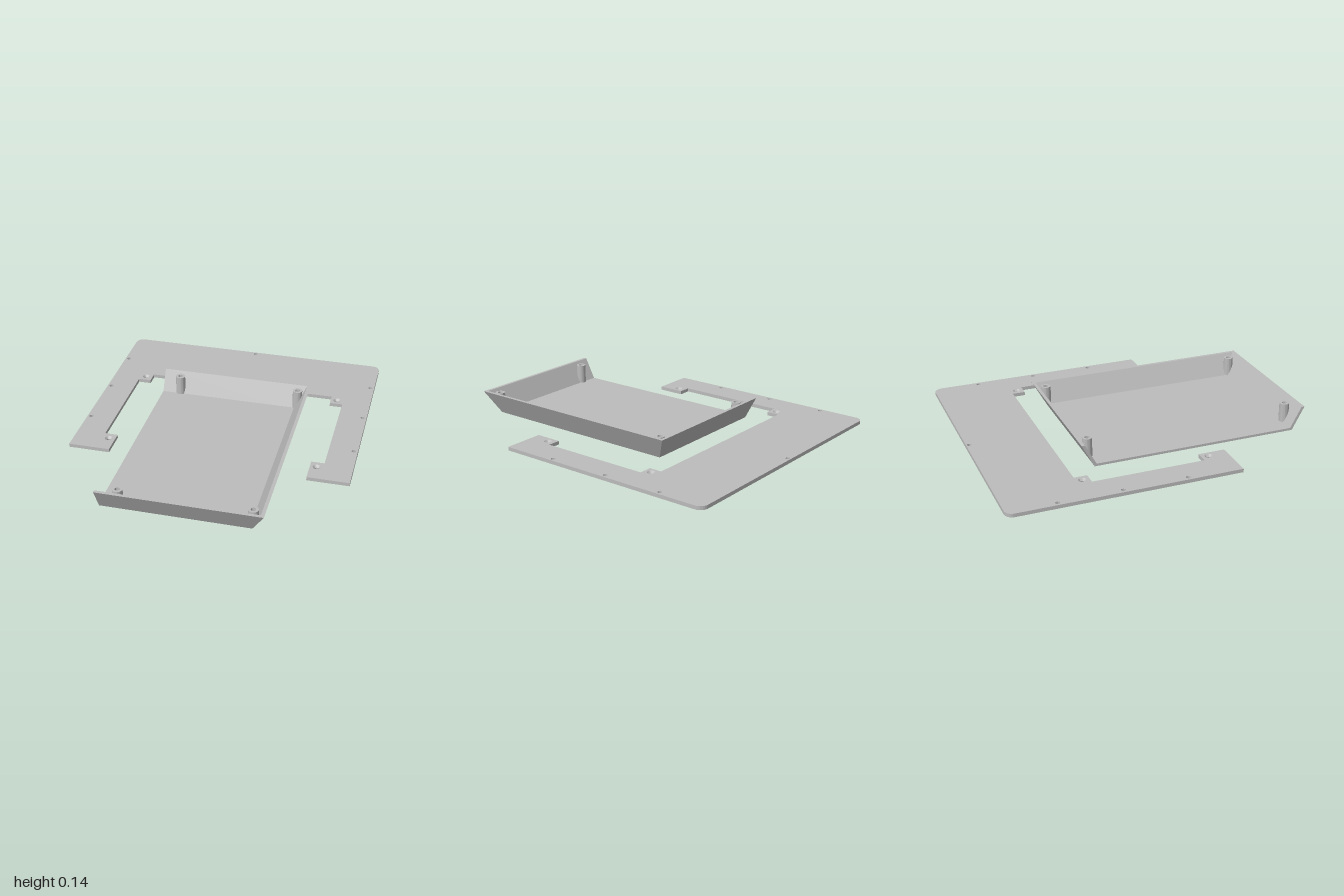
import * as THREE from 'three';
import { toCreasedNormals } from 'three/addons/utils/BufferGeometryUtils.js';

const H = 0.145;          // tray height
const K = 0.078 / H;      // outward lean of the walls
const T = 0.02;           // horizontal wall thickness
const FLOOR = 0.015;
const PLATE = 0.022;
// outer bottom edges of the tray
const LEFT = -0.485, RIGHT = 0.4, BACK = -0.365, FRONT = 0.922;

const grey = new THREE.MeshStandardMaterial({ color: 0xbcbcbc, side: THREE.DoubleSide });
grey.name = 'light grey';

function mesh(name, geometry, parent) {
  const m = new THREE.Mesh(geometry, grey);
  m.name = name;
  parent.add(m);
  return m;
}

function circle(x, y, r) {
  return new THREE.Path().absarc(x, y, r, 0, Math.PI * 2, true);
}

// Leaning wall running along x, outer face toward +z; mitred ends flare with the lean
function wallGeometry(u0, u1, mitre0, mitre1, slots = []) {
  const flare = K * H;
  const shape = new THREE.Shape([
    new THREE.Vector2(u0, 0), new THREE.Vector2(u1, 0),
    new THREE.Vector2(u1 + mitre1 * flare, H), new THREE.Vector2(u0 - mitre0 * flare, H),
  ]);
  const r = 0.0135, low = 0.038 + r, high = 0.113 - r;
  for (const u of slots) {
    const slot = new THREE.Path();
    slot.absarc(u, high, r, 0, Math.PI, false);
    slot.absarc(u, low, r, Math.PI, Math.PI * 2, false);
    slot.closePath();
    shape.holes.push(slot);
  }
  const g = new THREE.ExtrudeGeometry(shape, { depth: 1, bevelEnabled: false, curveSegments: 8 });
  const p = g.attributes.position;
  const s2 = 1 + K * K;
  for (let i = 0; i < p.count; i++) {
    let x = p.getX(i), y = p.getY(i), z = K * y;
    if (p.getZ(i) < 0.5) {
      if (y > 0.001 && y < H - 0.001) {     // slots are cut square to the wall
        z -= T / s2;
        y += K * T / s2;
      } else {                              // rim stays level, ends are mitred
        z -= T;
        x += x < (u0 + u1) / 2 ? T * mitre0 : -T * mitre1;
      }
    }
    p.setXYZ(i, x, y, z);
  }
  return toCreasedNormals(g, 0.6);
}

function buildTray() {
  const tray = new THREE.Group();
  tray.name = 'tray';

  // Floor, its edges leaning to meet the walls
  const x1 = RIGHT - T, z0 = BACK + T, z1 = FRONT - T;
  const floor = new THREE.BoxGeometry(x1 - LEFT, FLOOR, z1 - z0);
  floor.translate((x1 + LEFT) / 2, FLOOR / 2, (z0 + z1) / 2);
  const p = floor.attributes.position;
  for (let i = 0; i < p.count; i++) {
    if (p.getY(i) < FLOOR / 2) continue;
    if (p.getX(i) > 0) p.setX(i, x1 + K * FLOOR);
    p.setZ(i, p.getZ(i) > 0 ? z1 + K * FLOOR : z0 - K * FLOOR);
  }
  floor.computeVertexNormals();
  mesh('trayFloor', floor, tray);

  // Three walls; the left side is open
  mesh('frontWall', wallGeometry(LEFT, RIGHT, 0, 1), tray).position.z = FRONT;
  const back = mesh('backWall', wallGeometry(-RIGHT, -LEFT, 1, 0), tray);
  back.rotation.y = Math.PI;
  back.position.z = BACK;
  const slots = Array.from({ length: 20 }, (_, i) => -0.817 + i * 0.0561);
  const vent = mesh('ventedWall', wallGeometry(-FRONT, -BACK, 1, 1, slots), tray);
  vent.rotation.y = Math.PI / 2;
  vent.position.x = RIGHT;

  // Screw posts with blind holes, feet trimmed inside the leaning walls
  const top = 0.135, R = 0.03, r = 0.015;
  const profile = [[R, 0.008], [R, top], [r, top], [r, 0.1], [0, 0.1]]
    .map(([x, y]) => new THREE.Vector2(x, y));
  for (const x of [-0.37, 0.405]) {
    for (const z of [-0.37, 0.925]) {
      const g = new THREE.LatheGeometry(profile, 32);
      const q = g.attributes.position;
      for (let i = 0; i < q.count; i++) {
        if (q.getY(i) > 0.05) continue;
        const over = Math.max(
          x + q.getX(i) - RIGHT, z + q.getZ(i) - FRONT, BACK - z - q.getZ(i));
        q.setY(i, Math.max(0.008, (over + T / 2) / K));
      }
      mesh('screwPost', toCreasedNormals(g, 0.6), tray).position.set(x, 0, z);
    }
  }
  return tray;
}

function buildPlate() {
  const plate = new THREE.Group();
  plate.name = 'mountingPlate';

  // U-shaped outline, drawn with shape y = -z
  const W = 0.86, c = 0.05;
  const s = new THREE.Shape();
  s.moveTo(W, -0.4);
  s.lineTo(W, 1 - c);
  s.absarc(W - c, 1 - c, c, 0, Math.PI / 2, false);
  s.lineTo(-W + c, 1);
  s.absarc(-W + c, 1 - c, c, Math.PI / 2, Math.PI, false);
  s.lineTo(-W, -0.4);
  const inner = [[0.605, -0.4], [0.605, -0.235], [0.685, -0.235],
    [0.685, 0.455], [0.605, 0.455], [0.605, 0.535]];
  inner.forEach(([x, y]) => s.lineTo(-x, y));
  inner.reverse().forEach(([x, y]) => s.lineTo(x, y));
  s.closePath();

  // Small fixing holes and larger countersunk holes
  const sinks = [];
  s.holes.push(circle(0, 0.98, 0.013));
  for (const side of [-1, 1]) {
    for (const y of [0.705, 0.325, -0.065]) s.holes.push(circle(side * 0.835, y, 0.013));
    for (const y of [0.497, -0.282]) {
      s.holes.push(circle(side * 0.646, y, 0.024));
      sinks.push([side * 0.646, -y]);
    }
  }
  const g = new THREE.ExtrudeGeometry(s, { depth: PLATE, bevelEnabled: false, curveSegments: 12 });
  g.rotateX(-Math.PI / 2);
  mesh('plate', toCreasedNormals(g, 0.6), plate);

  // Conical countersinks
  const cone = [[0.024, 0], [0.012, 0], [0.012, 0.008], [0.024, PLATE]]
    .map(([x, y]) => new THREE.Vector2(x, y));
  const sinkGeometry = toCreasedNormals(new THREE.LatheGeometry(cone, 24), 0.6);
  for (const [x, z] of sinks) mesh('countersink', sinkGeometry, plate).position.set(x, 0, z);
  return plate;
}

export function createModel() {
  const model = new THREE.Group();
  model.name = 'ventedTrayAndPlate';
  model.add(buildTray(), buildPlate());
  return model;
}
